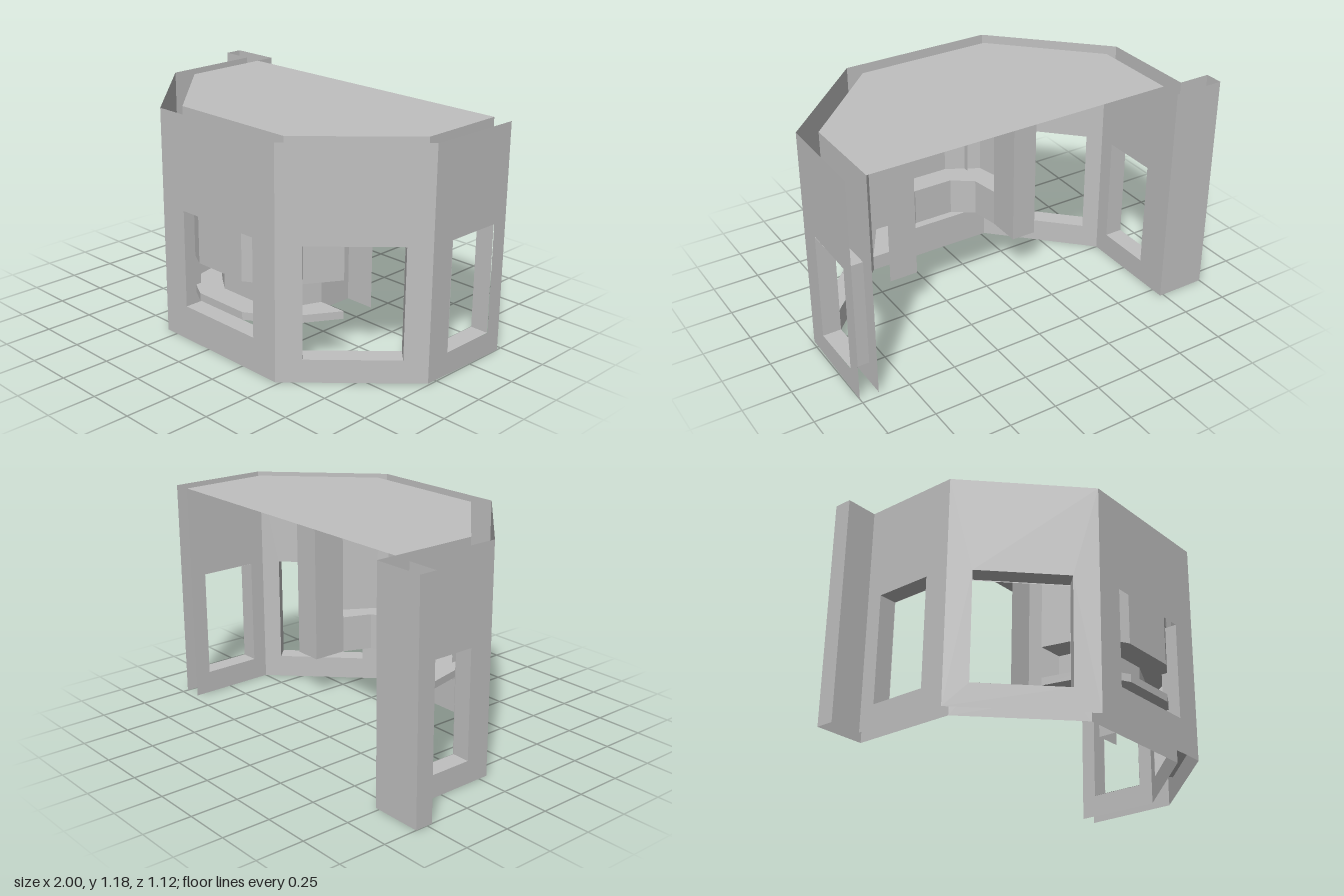
import * as THREE from 'three';

const grey = new THREE.MeshStandardMaterial({ color: 0xc0c0c0, side: THREE.DoubleSide });
grey.name = 'plain grey';

const H = 1.18;

function add(parent, name, geometry) {
  const mesh = new THREE.Mesh(geometry, grey);
  mesh.name = name;
  parent.add(mesh);
  return mesh;
}

// vertical sheet that follows a plan path of [x, z] points
function sheet(path, y0, y1) {
  const p = [];
  for (let i = 0; i + 1 < path.length; i++) {
    const [ax, az] = path[i], [bx, bz] = path[i + 1];
    p.push(ax, y0, az, bx, y0, bz, bx, y1, bz, ax, y0, az, bx, y1, bz, ax, y1, az);
  }
  const g = new THREE.BufferGeometry();
  g.setAttribute('position', new THREE.Float32BufferAttribute(p, 3));
  g.computeVertexNormals();
  return g;
}

// horizontal plate with a plan outline of [x, z] points
function plate(outline, y) {
  const shape = new THREE.Shape(outline.map(([x, z]) => new THREE.Vector2(x, -z)));
  return new THREE.ShapeGeometry(shape).rotateX(-Math.PI / 2).translate(0, y, 0);
}

// flat wall from a to b, with a window between plan points p and q
function wall(a, b, p, q, y0, y1) {
  const dx = b[0] - a[0], dz = b[1] - a[1], len = Math.hypot(dx, dz);
  const u = [dx / len, dz / len];
  const along = (c) => (c[0] - a[0]) * u[0] + (c[1] - a[1]) * u[1];
  const rect = (T, s0, s1, h0, h1) => new T([[s0, h0], [s1, h0], [s1, h1], [s0, h1]]
    .map(([s, h]) => new THREE.Vector2(s, h)));
  const shape = rect(THREE.Shape, 0, len, 0, H);
  shape.holes.push(rect(THREE.Path, along(p), along(q), y0, y1));
  const m = new THREE.Matrix4().makeBasis(
    new THREE.Vector3(u[0], 0, u[1]), new THREE.Vector3(0, 1, 0), new THREE.Vector3(-u[1], 0, u[0]));
  m.setPosition(a[0], 0, a[1]);
  return new THREE.ShapeGeometry(shape).applyMatrix4(m);
}

export function createModel() {
  const model = new THREE.Group();
  model.name = 'bayRoom';

  // plan of the outer and inner shells, from back left round the front
  const outer = [[-0.83, -0.47], [-0.83, 0.05], [-0.32, 0.557], [0.48, 0.557], [0.99, 0.05], [1, -0.47]];
  const inner = [[-0.73, -0.565], [-0.73, 0], [-0.27, 0.46], [0.44, 0.46], [0.9, 0], [0.9, -0.47]];
  const windows = [
    { name: 'sideWindowA', p: [-0.83, -0.385], q: [-0.83, -0.08], y0: 0.12 },
    { name: 'cornerWindowA', p: [-0.745, 0.135], q: [-0.41, 0.467], y0: 0.12 },
    { name: 'frontWindow', p: [-0.165, 0.557], q: [0.33, 0.557], y0: 0.18, front: true },
    { name: 'cornerWindowB', p: [0.57, 0.467], q: [0.905, 0.135], y0: 0.12 },
    { name: 'sideWindowB', p: [0.995, -0.08], q: [0.995, -0.385], y0: 0.12 },
  ];

  windows.forEach((w, i) => {
    const bay = new THREE.Group();
    bay.name = w.name;
    const { p, q, y0 } = w, y1 = 0.69;
    const dx = q[0] - p[0], dz = q[1] - p[1], len = Math.hypot(dx, dz), d = 0.097;
    const move = (c) => [c[0] + dz / len * d, c[1] - dx / len * d];
    let pi = move(p), qi = move(q);
    // this offset must point into the room
    if (Math.hypot(pi[0] - 0.08, pi[1] + 0.1) > Math.hypot(p[0] - 0.08, p[1] + 0.1)) {
      pi = [2 * p[0] - pi[0], 2 * p[1] - pi[1]];
      qi = [2 * q[0] - qi[0], 2 * q[1] - qi[1]];
    }
    add(bay, 'outerWall', wall(outer[i], outer[i + 1], p, q, y0, y1));
    if (w.front) {
      // taller inner opening where the counter bay passes through
      add(bay, 'innerWall', wall(inner[i], inner[i + 1], [-0.235, 0.46], [0.395, 0.46], y0, 1.12));
    } else {
      add(bay, 'innerWall', wall(inner[i], inner[i + 1], pi, qi, y0, y1));
      add(bay, 'lintel', plate([p, q, qi, pi], y1));
    }
    add(bay, 'sill', plate([p, q, qi, pi], y0));
    add(bay, 'jambA', sheet([p, pi], y0, y1));
    add(bay, 'jambB', sheet([q, qi], y0, y1));
    model.add(bay);
  });

  // flat roof over the inner shell
  add(model, 'roof', plate([[-0.73, -0.46], ...inner.slice(1, 5), [0.9, -0.47]], H));

  // stepped end of the wall at the back corner
  add(model, 'cornerReturn', sheet([[-0.73, -0.565], [-1, -0.565], [-1, -0.47], [-0.83, -0.47]], 0, H));

  // hanging counter bay with a recessed band round its front
  const counter = new THREE.Group();
  counter.name = 'counterBay';
  const face = [[-0.30, 0.19], [-0.24, 0.45], [-0.07, 0.545], [0.24, 0.545], [0.42, 0.44], [0.57, 0.19]];
  const band = [[-0.165, 0.19], [-0.14, 0.34], [-0.03, 0.42], [0.19, 0.42], [0.36, 0.34], [0.42, 0.19]];
  const ring = [...face, ...band.slice().reverse()];
  const wrap = [band[0], ...face, band[5]];
  add(counter, 'upperFace', sheet(wrap, 0.44, 1.12));
  add(counter, 'lip', sheet(wrap, 0.24, 0.28));
  add(counter, 'recessedBand', sheet(band, 0.24, 0.44));
  for (const [name, y] of [['shelf', 0.44], ['counterTop', 0.28], ['underside', 0.24]]) {
    add(counter, name, plate(ring, y));
  }
  // L-shaped end panels
  add(counter, 'endPanelA', sheet([band[0], [-0.165, 0], [-0.30, 0]], 0.24, 1.12));
  add(counter, 'endPanelB', sheet([band[5], [0.42, 0], [0.574, 0]], 0.24, 1.12));
  model.add(counter);

  return model;
}
